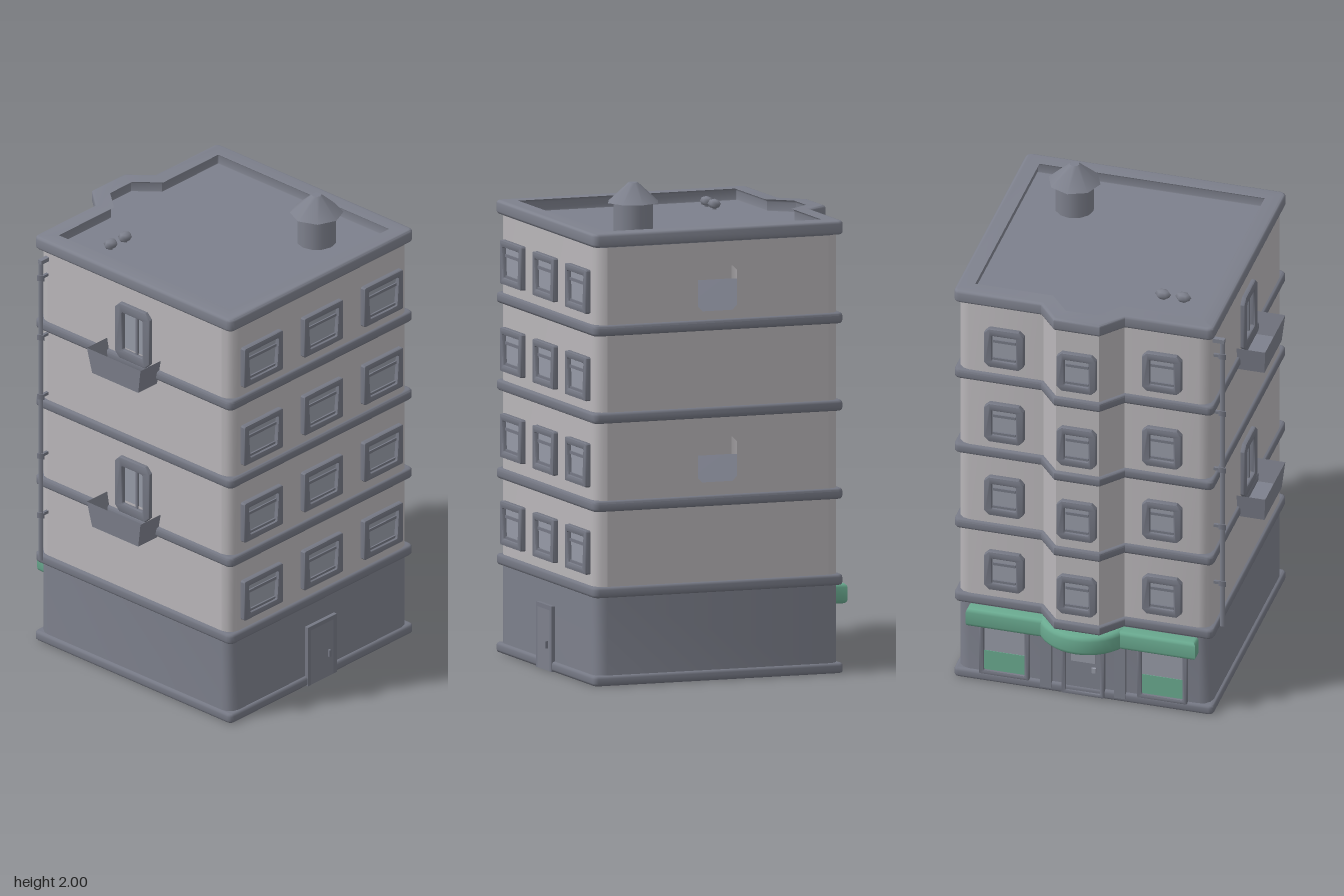
import * as THREE from 'three';
import { toCreasedNormals } from 'three/addons/utils/BufferGeometryUtils.js';

const mat = (name, color, extra = {}) => new THREE.MeshStandardMaterial({ name, color, ...extra });
const wallMat = mat('wall grey', 0xb9b6b9, { side: THREE.DoubleSide });
const slate = mat('slate', 0x7d808c, { side: THREE.DoubleSide });
const trim = mat('trim slate', 0x757884);
const glass = mat('glass', 0x969aa6, { side: THREE.DoubleSide });
const green = mat('awning green', 0x69a98f);

const X0 = -0.48, X1 = 0.58, Z0 = -0.47, Z1 = 0.585, CX = 0.05;
const FLOORS = [0.38, 0.73, 1.088, 1.443];
const DOOR_FLOORS = [0.895, 1.59];
const V = (x, y) => new THREE.Vector2(x, y);

function add(parent, name, geo, material, x = 0, y = 0, z = 0) {
  const m = new THREE.Mesh(geo, material);
  m.name = name;
  m.position.set(x, y, z);
  parent.add(m);
  return m;
}
const box = (p, name, material, w, h, d, x, y, z) =>
  add(p, name, new THREE.BoxGeometry(w, h, d), material, x, y, z);

// Plan outline in (x, z), starting along the right wall, with rounded corners and optional back bay
function footprint(o, bay, r = 0.05) {
  const x0 = X0 - o, x1 = X1 + o, z0 = Z0 - o, z1 = Z1 + o, pts = [];
  const corner = (cx, cz, a) => {
    for (let i = 0; i <= 3; i++) {
      const t = a - (i / 3) * Math.PI / 2;
      pts.push(V(cx + r * Math.cos(t), cz + r * Math.sin(t)));
    }
  };
  corner(x1 - r, z0 + r, 0);
  if (bay) {
    const a = 0.17 + o * 0.4, b = 0.09 + o * 0.4, zb = -0.565 - o;
    pts.push(V(CX + a, z0), V(CX + b, zb), V(CX - b, zb), V(CX - a, z0));
  }
  corner(x0 + r, z0 + r, -Math.PI / 2);
  corner(x0 + r, z1 - r, -Math.PI);
  corner(x1 - r, z1 - r, -1.5 * Math.PI);
  return pts;
}

// Horizontal slab from a plan outline, with softened edges
function slab(pts, y0, y1, bevel = 0, hole = null) {
  const s = new THREE.Shape(pts);
  if (hole) s.holes.push(new THREE.Path(hole));
  const g = new THREE.ExtrudeGeometry(s, {
    depth: y1 - y0 - 2 * bevel, bevelEnabled: bevel > 0, bevelSize: bevel,
    bevelThickness: bevel, bevelOffset: -bevel, bevelSegments: 3,
  });
  g.rotateX(Math.PI / 2).translate(0, y1 - bevel, 0);
  return toCreasedNormals(g, 0.75);
}

// Rectangle with cut corners; topExtra widens the upper edge
function cutRect(w, h, c, topExtra = 0, cx = 0, cy = 0) {
  const a = w / 2, b = h / 2, t = a + topExtra;
  return [[-a + c, -b], [a - c, -b], [a, -b + c], [t, b - c], [t - c, b], [-t + c, b], [-t, b - c], [-a, -b + c]]
    .map(([x, y]) => V(cx + x, cy + y));
}

function frameGeo(w, h, border, c, depth, slope = 0) {
  const s = new THREE.Shape(cutRect(w, h, c));
  s.holes.push(new THREE.Path(cutRect(w - 2 * border - slope, h - 2 * border, 0.003, slope / 2)));
  const b = 0.006;
  const g = new THREE.ExtrudeGeometry(s, {
    depth: depth - b, bevelEnabled: true, bevelSize: b, bevelThickness: b, bevelOffset: -b, bevelSegments: 2,
  });
  return toCreasedNormals(g, 0.75);
}

// Framed sash window facing +z of its group
function windowUnit(parent, w, h, border, c, slope) {
  const g = new THREE.Group();
  g.name = 'window';
  parent.add(g);
  add(g, 'windowFrame', frameGeo(w, h, border, c, 0.024, slope), trim);
  box(g, 'windowPane', glass, w - border * 1.4, h - border * 1.4, 0.006, 0, 0, 0.003);
  box(g, 'upperSash', trim, w - border * 2.2, 0.012, 0.012, 0, h * 0.16, 0.006);
  box(g, 'sill', trim, w - border * 2.2, 0.012, 0.014, 0, -h / 2 + border + 0.004, 0.006);
  return g;
}

// Side wall panel with the balcony-level openings
function sideWall(parent, name, x) {
  const s = new THREE.Shape([V(Z0 + 0.05, 0.37), V(Z1 - 0.05, 0.37), V(Z1 - 0.05, 1.78), V(Z0 + 0.05, 1.78)]);
  for (const y of DOOR_FLOORS) s.holes.push(new THREE.Path(cutRect(0.17, 0.18, 0.02, 0, 0.06, y)));
  add(parent, name, new THREE.ShapeGeometry(s).rotateY(-Math.PI / 2), wallMat, x);
}

function upperWalls(parent) {
  const pts = footprint(0, true), pos = [];
  pts.forEach((a, i) => {
    const b = pts[(i + 1) % pts.length];
    const side = Math.abs(a.x - b.x) < 1e-6 && Math.abs(a.y - b.y) > 0.5;
    if (side) return;
    pos.push(a.x, 0.37, a.y, b.x, 0.37, b.y, b.x, 1.78, b.y, a.x, 0.37, a.y, b.x, 1.78, b.y, a.x, 1.78, a.y);
  });
  const g = new THREE.BufferGeometry();
  g.setAttribute('position', new THREE.Float32BufferAttribute(pos, 3));
  add(parent, 'upperWalls', toCreasedNormals(g, 0.6), wallMat);
  sideWall(parent, 'leftWall', X1);
  sideWall(parent, 'rightWall', X0);
}

function balcony(parent, y) {
  const g = new THREE.Group();
  g.name = 'balcony';
  parent.add(g);
  const k = Math.SQRT1_2;
  const sides = new THREE.CylinderGeometry(1, 0.86, 0.11, 4, 1, true).rotateY(Math.PI / 4)
    .scale(0.065 / k, 1, 0.147 / k);
  add(g, 'balconySides', toCreasedNormals(sides, 0.5), slate, -0.535, y + 0.055, 0.055);
  box(g, 'balconyFloor', slate, 0.112, 0.012, 0.253, -0.535, y + 0.007, 0.055);
  const door = new THREE.Group();
  door.name = 'balconyDoor';
  door.position.set(X0 + 0.005, y + 0.18, 0.06);
  door.rotation.y = -Math.PI / 2;
  g.add(door);
  add(door, 'doorFrame', frameGeo(0.19, 0.25, 0.04, 0.025, 0.024), trim);
  box(door, 'doorPane', glass, 0.13, 0.19, 0.006, 0, 0, 0);
  box(door, 'doorLeaf', trim, 0.012, 0.19, 0.012, 0.015, 0, 0.006);
}

function drainpipe(parent) {
  const tri = (r, h) => new THREE.CylinderGeometry(r, r, h, 3);
  add(parent, 'drainpipe', tri(0.011, 1.36), slate, -0.517, 1.075, -0.42);
  box(parent, 'drainElbow', slate, 0.05, 0.018, 0.02, -0.5, 1.752, -0.42);
  for (const y of [0.6, 0.87, 1.14, 1.41, 1.68]) {
    add(parent, 'pipeBracket', tri(0.018, 0.024), trim, -0.517, y, -0.42);
    box(parent, 'pipeTie', trim, 0.04, 0.012, 0.012, -0.497, y, -0.42);
  }
}

function shopfront(parent) {
  const g = new THREE.Group();
  g.name = 'shopfront';
  g.position.set(CX, 0, Z0);
  g.rotation.y = Math.PI;
  parent.add(g);
  for (const s of [-1, 1]) {
    const x = s * 0.33;
    add(g, 'shopFrame', frameGeo(0.21, 0.24, 0.02, 0.004, 0.018), trim, x, 0.155, 0);
    box(g, 'shopGlass', glass, 0.18, 0.12, 0.006, x, 0.205, 0.003);
    box(g, 'shopPanel', green, 0.18, 0.1, 0.008, x, 0.095, 0.004);
    box(g, 'pillar', slate, 0.045, 0.26, 0.02, s * 0.155, 0.15, 0.01);
  }
  add(g, 'shopDoorFrame', frameGeo(0.18, 0.27, 0.018, 0.004, 0.02), trim, 0, 0.14, 0);
  box(g, 'shopDoor', slate, 0.15, 0.24, 0.008, 0, 0.14, 0.004);
  box(g, 'shopDoorGlass', glass, 0.1, 0.08, 0.004, 0, 0.2, 0.009);
  box(g, 'shopDoorHandle', glass, 0.018, 0.022, 0.012, 0.045, 0.13, 0.012);

  // Awning: straight run and a bulging centre
  const run = [V(-0.43, -0.46), V(0.53, -0.46), V(0.53, -0.522), V(-0.43, -0.522)];
  add(parent, 'awning', slab(run, 0.272, 0.355, 0.016), green);
  const arc = [V(CX + 0.18, -0.46), V(CX - 0.18, -0.46)];
  for (let i = 0; i <= 14; i++) {
    const t = -1.1 + (2.2 * i) / 14;
    arc.push(V(CX + 0.202 * Math.sin(t), -0.408 - 0.202 * Math.cos(t)));
  }
  add(parent, 'awningCentre', slab(arc, 0.268, 0.357, 0.02), green);
}

function frontDoor(parent) {
  const z = Z1 + 0.006;
  for (const x of [-0.03, 0.122]) box(parent, 'doorJamb', trim, 0.018, 0.265, 0.02, x, 0.1325, z);
  box(parent, 'doorLintel', trim, 0.17, 0.018, 0.02, 0.046, 0.257, z);
  box(parent, 'frontDoor', slate, 0.136, 0.25, 0.03, 0.046, 0.125, Z1);
  box(parent, 'doorHandle', trim, 0.01, 0.03, 0.012, 0.085, 0.105, z + 0.012);
}

function rooftop(parent) {
  const g = new THREE.Group();
  g.name = 'rooftop';
  parent.add(g);
  add(g, 'roof', slab(footprint(-0.01, true), 1.772, 1.79), slate);
  add(g, 'parapet', slab(footprint(0.014, true, 0.025), 1.782, 1.838, 0.012, footprint(-0.047, true, 0.004)), slate);
  add(g, 'tankBody', new THREE.CylinderGeometry(0.08, 0.08, 0.14, 12), slate, 0.315, 1.855, 0.32);
  add(g, 'tankRoof', new THREE.CylinderGeometry(0.02, 0.108, 0.08, 8), slate, 0.315, 1.96, 0.32);
  for (const x of [-0.3, -0.215]) {
    add(g, 'roofVentStem', new THREE.CylinderGeometry(0.01, 0.01, 0.03, 5), slate, x, 1.8, -0.24);
    const cap = add(g, 'roofVent', new THREE.SphereGeometry(0.034, 6, 4), slate, x, 1.813, -0.24);
    cap.scale.set(1, 0.6, 0.75);
  }
}

export function createModel() {
  const model = new THREE.Group();
  model.name = 'apartmentBuilding';

  // Ground floor, upper walls and floor bands
  add(model, 'plinth', slab(footprint(0.013, false, 0.02), 0, 0.042, 0.012), trim);
  add(model, 'groundFloor', slab(footprint(0, false), 0.02, 0.37), slate);
  upperWalls(model);
  for (const y of FLOORS)
    add(model, 'floorBand', slab(footprint(0.013, true, 0.025), y - 0.022, y + 0.022, 0.012), trim);

  // Windows on every upper floor
  for (const y of [0.535, 0.89, 1.24, 1.595]) {
    for (const i of [-1, 0, 1]) {
      windowUnit(model, 0.23, 0.178, 0.027, 0.006, 0.02).position.set(CX + i * 0.355, y, Z1 - 0.001);
      const back = windowUnit(model, 0.165, 0.18, 0.032, 0.02, 0);
      back.position.set(CX + i * 0.33, y, i ? Z0 : -0.563);
      back.rotation.y = Math.PI;
    }
  }

  frontDoor(model);
  shopfront(model);
  balcony(model, 0.7);
  balcony(model, 1.4);
  drainpipe(model);
  rooftop(model);
  return model;
}
